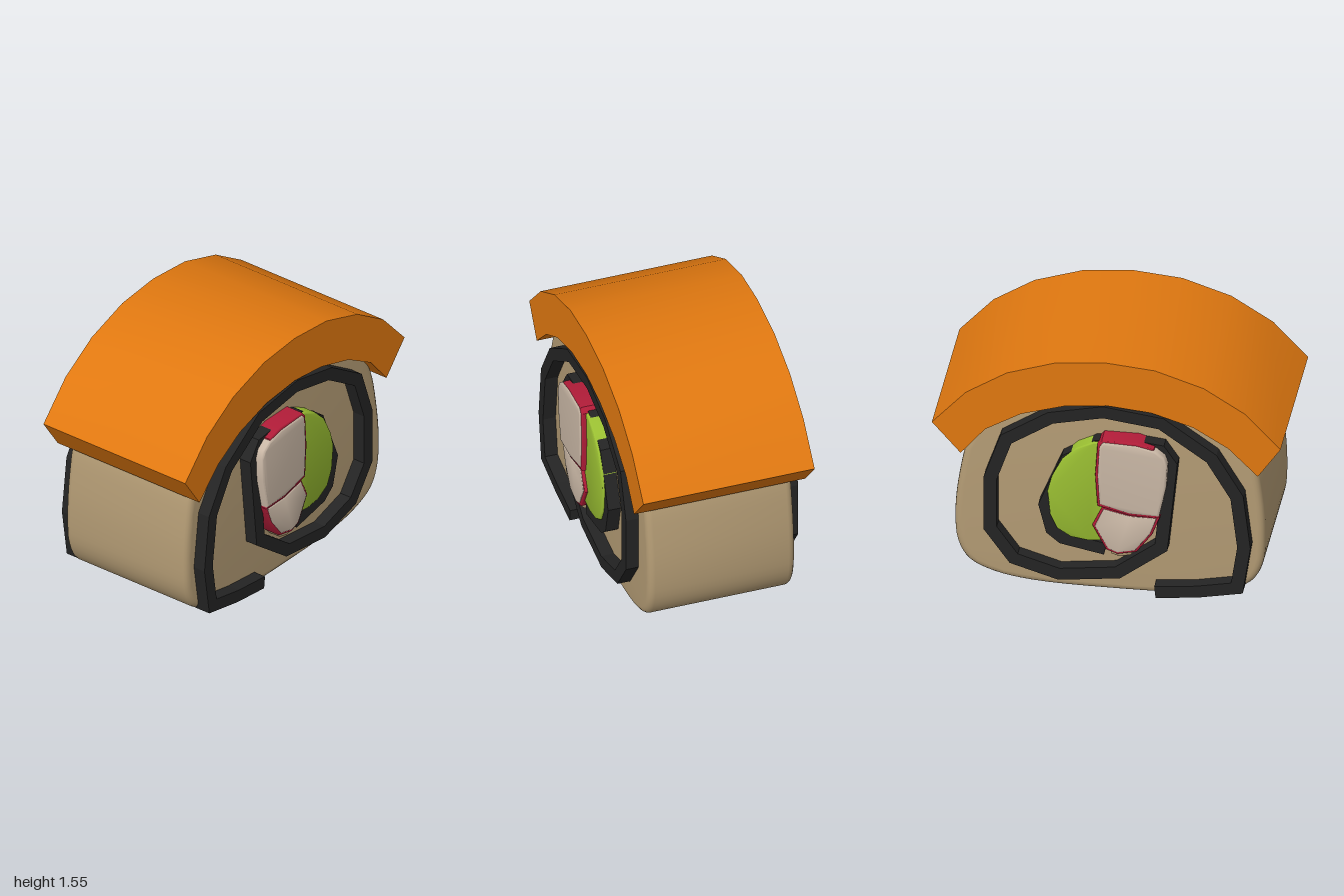
import * as THREE from 'three';
import { toCreasedNormals } from 'three/addons/utils/BufferGeometryUtils.js';

const paint = (name, color) => {
  const m = new THREE.MeshStandardMaterial({ color });
  m.name = name;
  return m;
};

// Profiles are [-z, y] pairs; each is extruded across x, centred on x = 0.
const vecs = (pts) => pts.map(([u, v]) => new THREE.Vector2(u, v));

function slab(name, pts, halfWidth, material, { bevel = 0, crease = 0.6, flat = false } = {}) {
  let geo = new THREE.ExtrudeGeometry(new THREE.Shape(vecs(pts)), {
    depth: 2 * (halfWidth - bevel),
    bevelEnabled: bevel > 0,
    bevelThickness: bevel,
    bevelSize: bevel,
    bevelOffset: -bevel,
    bevelSegments: 4,
  });
  geo.translate(0, 0, bevel - halfWidth);
  geo.rotateY(Math.PI / 2);
  if (!flat) geo = toCreasedNormals(geo, crease);
  const mesh = new THREE.Mesh(geo, material);
  mesh.name = name;
  return mesh;
}

// Smooth closed outline through a few points
function rounded(pts, n) {
  const curve = new THREE.CatmullRomCurve3(
    pts.map(([u, v]) => new THREE.Vector3(u, v, 0)), true, 'centripetal');
  return curve.getPoints(n).slice(0, -1).map((p) => [p.x, p.y]);
}

// Mitred band of constant width along an open path
function band(path, width) {
  const p = vecs(path);
  const left = [], right = [];
  p.forEach((pt, i) => {
    const a = pt.clone().sub(p[Math.max(i - 1, 0)]).normalize();
    const b = p[Math.min(i + 1, p.length - 1)].clone().sub(pt).normalize();
    const dir = a.clone().add(b).normalize();
    const ref = a.lengthSq() ? a : b;
    const h = width / 2 / Math.max(dir.dot(ref), 0.5);
    left.push([pt.x - dir.y * h, pt.y + dir.x * h]);
    right.unshift([pt.x + dir.y * h, pt.y - dir.x * h]);
  });
  return left.concat(right);
}

export function createModel() {
  const rice = paint('rice', 0xb39b74);
  const salmon = paint('salmon orange', 0xe07810);
  const seaweed = paint('seaweed black', 0x242424);
  const avocado = paint('avocado green', 0x9abf32);
  const red = paint('crab red', 0xb01c38);
  const cream = paint('crab cream', 0xc9b7a5);

  const model = new THREE.Group();
  model.name = 'sushiRoll';

  // Rice body
  const body = rounded([
    [0, 0.003], [-0.44, 0.015], [-0.68, 0.055], [-0.82, 0.125], [-0.882, 0.24],
    [-0.898, 0.43], [-0.88, 0.7], [-0.83, 0.93], [-0.71, 1.08], [-0.5, 1.19], [-0.25, 1.265],
    [0, 1.29], [0.25, 1.265], [0.5, 1.19], [0.7, 1.08], [0.8, 0.93], [0.855, 0.7],
    [0.882, 0.43], [0.865, 0.24], [0.8, 0.125], [0.66, 0.055], [0.44, 0.015],
  ], 88);
  model.add(slab('riceBody', body, 0.44, rice, { bevel: 0.04 }));

  // Salmon slice draped over the top
  model.add(slab('salmonSlice', [
    [-1, 1.07], [-0.8, 1.285], [-0.56, 1.435], [-0.28, 1.527], [0, 1.553],
    [0.29, 1.527], [0.57, 1.435], [0.805, 1.285], [1, 1.07],
    [0.835, 0.88], [0.695, 1.05], [0.49, 1.17], [0.24, 1.245], [0, 1.27],
    [-0.26, 1.245], [-0.5, 1.17], [-0.7, 1.05], [-0.87, 0.88],
  ], 0.513, salmon));

  // Seaweed spiral, from the outer tail inwards
  model.add(slab('seaweedSpiral', band([
    [-0.28, 0.06], [-0.52, 0.085], [-0.75, 0.13], [-0.79, 0.4], [-0.75, 0.73],
    [-0.605, 0.975], [-0.315, 1.18], [0.02, 1.225], [0.32, 1.16], [0.575, 0.995],
    [0.665, 0.73], [0.665, 0.4], [0.53, 0.21], [0.27, 0.13], [-0.065, 0.17],
    [-0.315, 0.36], [-0.37, 0.91], [-0.31, 1.0], [-0.14, 1.02], [0.05, 1.0],
    [0.225, 0.89], [0.35, 0.58], [0.31, 0.42], [0.25, 0.37], [0.005, 0.32],
  ], 0.075), 0.516, seaweed, { flat: true }));

  // Avocado filling
  model.add(slab('avocado', [
    [-0.02, 1.03], [0.07, 1.03], [0.17, 0.98], [0.25, 0.9], [0.31, 0.78], [0.335, 0.68],
    [0.32, 0.53], [0.28, 0.44], [0.2, 0.39], [0.1, 0.375], [0, 0.385], [-0.02, 0.6],
  ], 0.53, avocado, { bevel: 0.01 }));

  // Upper crab stick: red skin behind a cream core
  model.add(slab('upperCrabSkin', [
    [-0.31, 0.575], [-0.15, 0.575], [0.045, 0.625], [0.058, 0.83], [0.045, 1.03],
    [0.02, 1.06], [-0.18, 1.06], [-0.28, 1.03], [-0.3, 0.9],
  ], 0.556, red, { bevel: 0.01 }));
  model.add(slab('upperCrabCore', [
    [-0.31, 0.588], [-0.14, 0.592], [0.032, 0.64], [0.043, 0.83], [0.033, 1.02],
    [0.012, 1.052], [-0.18, 1.045], [-0.29, 1.02], [-0.34, 0.98], [-0.357, 0.93],
    [-0.35, 0.78],
  ], 0.565, cream, { bevel: 0.015 }));

  // Lower crab stick: red skin with a cream face
  model.add(slab('lowerCrabSkin', [
    [-0.315, 0.58], [-0.14, 0.58], [0.015, 0.62], [0.075, 0.49], [-0.005, 0.335],
    [-0.07, 0.31], [-0.18, 0.335], [-0.27, 0.46],
  ], 0.548, red, { bevel: 0.01 }));
  model.add(slab('lowerCrabFace', [
    [-0.295, 0.57], [-0.14, 0.572], [0.01, 0.606], [0.06, 0.49], [-0.015, 0.347],
    [-0.07, 0.324], [-0.17, 0.347], [-0.257, 0.464],
  ], 0.554, cream, { bevel: 0.008 }));

  // Small tip of crab under the lower stick
  model.add(slab('crabTip', [
    [-0.18, 0.34], [-0.14, 0.295], [-0.08, 0.28], [-0.03, 0.295], [-0.02, 0.34],
  ], 0.522, rice, { bevel: 0.01 }));

  return model;
}
